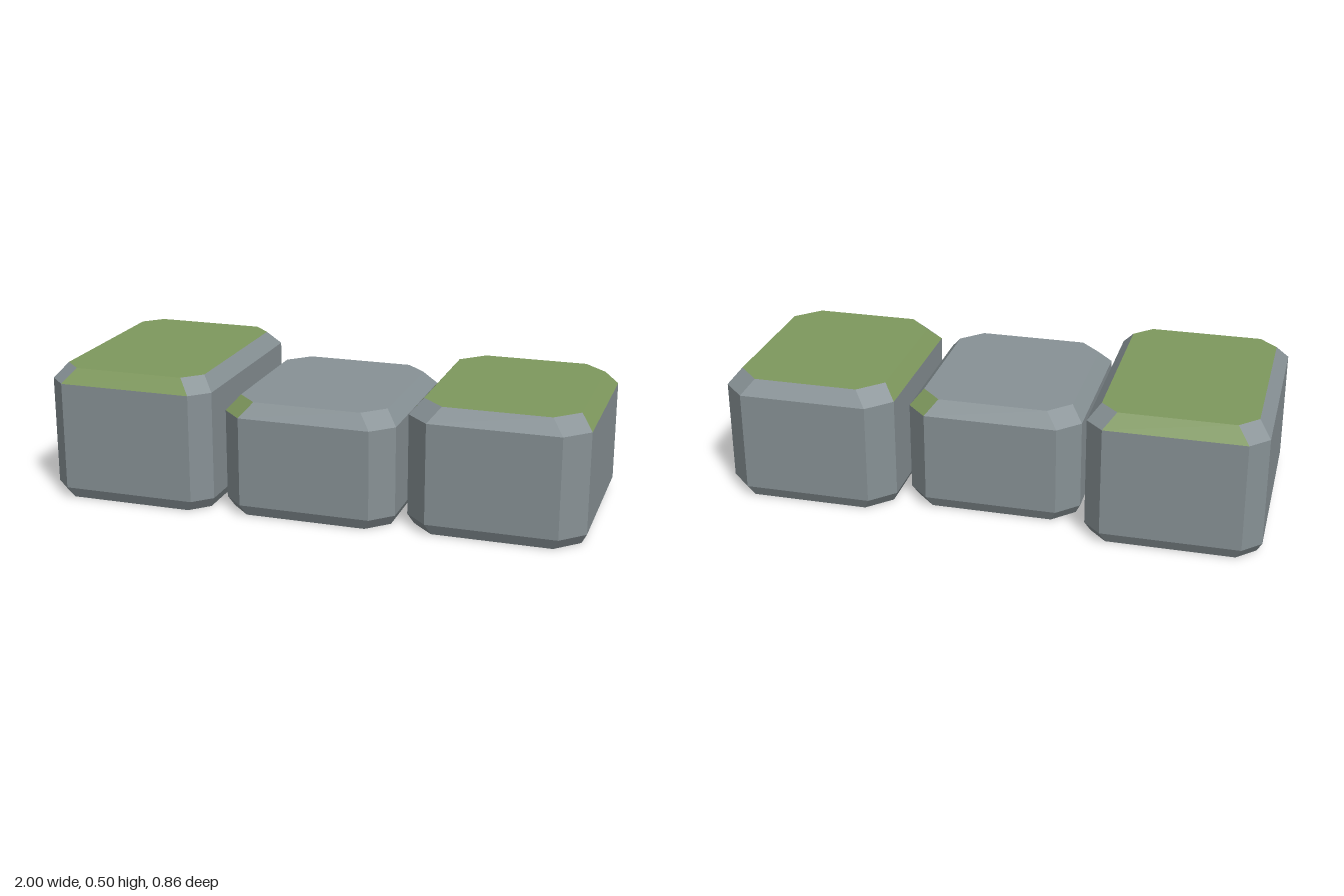
import * as THREE from 'three';

// Eight-sided outline of a box with cut corners, counter-clockwise from above.
// Edges: 0 = +x, 2 = -z, 4 = -x, 6 = +z; odd edges are the corners between them.
function outline(x0, x1, z0, z1, cut, inset, y) {
  const [l, r, b, f] = [x0 + inset, x1 - inset, z0 + inset, z1 - inset];
  return [
    [r, f - cut], [r, b + cut], [r - cut, b], [l + cut, b],
    [l, b + cut], [l, f - cut], [l + cut, f], [r - cut, f],
  ].map(([x, z]) => new THREE.Vector3(x, y, z));
}

function facets(polygons) {
  const points = [];
  for (const p of polygons)
    for (let i = 1; i < p.length - 1; i++) points.push(p[0], p[i], p[i + 1]);
  const geometry = new THREE.BufferGeometry().setFromPoints(points);
  geometry.computeVertexNormals();
  return geometry;
}

export function createModel() {
  const stone = new THREE.MeshStandardMaterial({ color: 0x879195 });
  stone.name = 'stone grey';
  const moss = new THREE.MeshStandardMaterial({ color: 0x7e985d });
  moss.name = 'moss green';

  // mossyBevels lists the upper bevel edges covered in moss
  const blocks = [
    { name: 'rightBlock', x: [-1, -0.365], z: [-0.432, 0.432], rim: 0.447, top: 0.5, cut: 0.066, mossyTop: true, mossyBevels: [2, 6] },
    { name: 'middleBlock', x: [-0.326, 0.318], z: [-0.326, 0.406], rim: 0.374, top: 0.426, cut: 0.077, mossyTop: false, mossyBevels: [1, 5] },
    { name: 'leftBlock', x: [0.354, 1], z: [-0.405, 0.38], rim: 0.415, top: 0.468, cut: 0.085, mossyTop: true, mossyBevels: [0, 4] },
  ];

  const model = new THREE.Group();
  model.name = 'stoneBlocks';
  for (const b of blocks) {
    const ring = (inset, y) => outline(...b.x, ...b.z, b.cut, inset, y);
    const rings = [ring(0.02, 0), ring(0, 0.041), ring(0, b.rim), ring(0.044, b.top)];
    const bare = [[...rings[0]].reverse()];
    const mossy = [];

    // Base bevel, walls and top bevel
    for (let level = 0; level < 3; level++) {
      for (let i = 0; i < 8; i++) {
        const j = (i + 1) % 8;
        const isMossy = level === 2 && b.mossyBevels.includes(i);
        (isMossy ? mossy : bare).push([rings[level][i], rings[level][j], rings[level + 1][j], rings[level + 1][i]]);
      }
    }
    (b.mossyTop ? mossy : bare).push(rings[3]);

    const body = new THREE.Mesh(facets(bare), stone);
    body.name = 'stoneBody';
    const cover = new THREE.Mesh(facets(mossy), moss);
    cover.name = 'mossCover';
    const group = new THREE.Group();
    group.name = b.name;
    group.add(body, cover);
    model.add(group);
  }
  return model;
}
